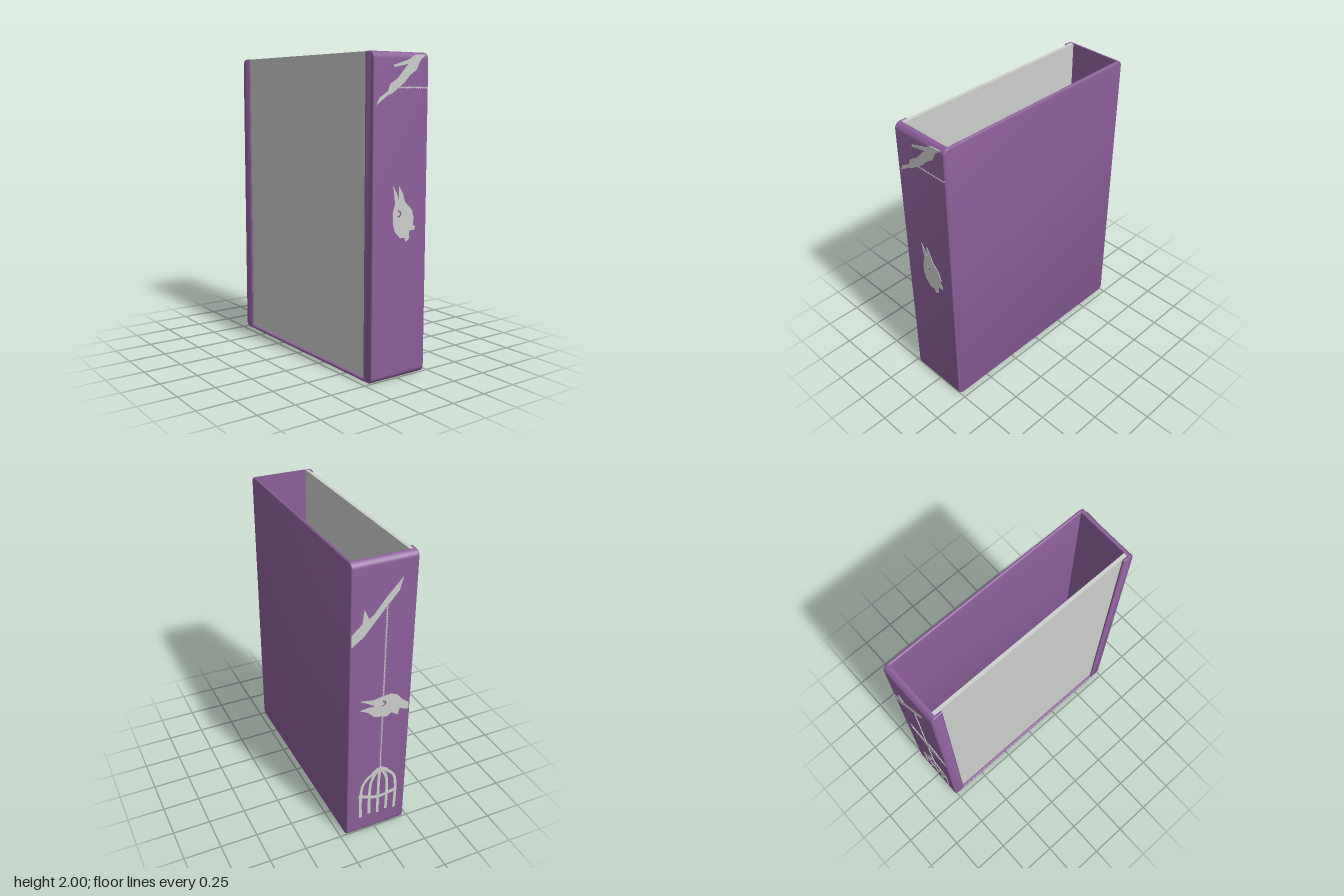
import * as THREE from 'three';
import { toCreasedNormals } from 'three/addons/utils/BufferGeometryUtils.js';

const purple = new THREE.MeshStandardMaterial({ color: 0x8c5f9a });
purple.name = 'purple';
const grey = new THREE.MeshStandardMaterial({ color: 0xcccecc });
grey.name = 'pale grey';

const W = 0.763, D = 0.212, H = 2, R = 0.04, WALL = 0.04, SKIN = 0.02;

function add(parent, name, geometry, material) {
  const mesh = new THREE.Mesh(geometry, material);
  mesh.name = name;
  parent.add(mesh);
  return mesh;
}

function extrude(shape, depth, options = {}) {
  const geo = new THREE.ExtrudeGeometry(shape, { depth, bevelEnabled: false, curveSegments: 6, ...options });
  return toCreasedNormals(geo, 0.6);
}

// Softened plate of total thickness 2 * t, centred on z = 0
const softPlate = (shape, t) => extrude(shape, 0, {
  bevelEnabled: true, bevelThickness: t, bevelSize: t, bevelOffset: -t, bevelSegments: 4,
});

// Rounded outline of the whole case, seen from the front
function caseOutline() {
  const s = new THREE.Shape();
  s.moveTo(-W + R, 0);
  s.lineTo(W - R, 0);
  s.absarc(W - R, R, R, -Math.PI / 2, 0);
  s.lineTo(W, H - R);
  s.absarc(W - R, H - R, R, 0, Math.PI / 2);
  s.lineTo(-W + R, H);
  s.absarc(-W + R, H - R, R, Math.PI / 2, Math.PI);
  s.lineTo(-W, R);
  s.absarc(-W + R, R, R, Math.PI, Math.PI * 1.5);
  return s;
}

// Front lip: the same outline with the sliding panel's opening cut from the top
function lipOutline() {
  const s = new THREE.Shape(), o = 0.68;
  s.moveTo(-W + R, 0);
  s.lineTo(W - R, 0);
  s.absarc(W - R, R, R, -Math.PI / 2, 0);
  s.lineTo(W, H - R);
  s.absarc(W - R, H - R, R, 0, Math.PI / 2);
  s.lineTo(o, H);
  s.lineTo(o, SKIN);
  s.lineTo(-o, SKIN);
  s.lineTo(-o, H);
  s.lineTo(-W + R, H);
  s.absarc(-W + R, H - R, R, Math.PI / 2, Math.PI);
  s.lineTo(-W, R);
  s.absarc(-W + R, R, R, Math.PI, Math.PI * 1.5);
  return s;
}

// Side wall with round outer corners
function wallOutline(side) {
  const s = new THREE.Shape();
  const arc = (y, a0, a1) => {
    for (let i = 0; i <= 6; i++) {
      const a = a0 + (a1 - a0) * i / 6;
      s.lineTo(side * (W - R + R * Math.cos(a)), y + R * Math.sin(a));
    }
  };
  s.moveTo(side * (W - WALL), 0);
  arc(R, -Math.PI / 2, 0);
  arc(H - R, 0, Math.PI / 2);
  s.lineTo(side * (W - WALL), H);
  return s;
}

const polygon = (pts) => new THREE.Shape(pts.map(([x, y]) => new THREE.Vector2(x, y)));

// Constant-width strip following a smooth path
function ribbon(pts, width, steps = 12) {
  const curve = new THREE.SplineCurve(pts.map(([x, y]) => new THREE.Vector2(x, y)));
  const a = [], b = [];
  for (let i = 0; i <= steps; i++) {
    const p = curve.getPoint(i / steps), t = curve.getTangent(i / steps);
    a.push([p.x - t.y * width / 2, p.y + t.x * width / 2]);
    b.unshift([p.x + t.y * width / 2, p.y - t.x * width / 2]);
  }
  return polygon([...a, ...b]);
}

// Thread made of short slanted twists
function thread(x0, y0, x1, y1) {
  const n = Math.round(Math.hypot(x1 - x0, y1 - y0) / 0.017);
  const dx = (x1 - x0) / n, dy = (y1 - y0) / n, out = [];
  for (let i = 0; i < n; i++) {
    const x = x0 + dx * i, y = y0 + dy * i, k = 0.25;
    out.push(ribbon([[x + dy * k, y - dx * k], [x + dx * 0.8 - dy * k, y + dy * 0.8 + dx * k]], 0.007, 1));
  }
  return out;
}

// Thin plates on a side wall; x of each shape runs rightwards as seen from that side
function decorate(parent, side, name, shapes) {
  const geo = extrude(shapes, 0.006);
  geo.rotateY(side * Math.PI / 2);
  geo.translate(side * (W - 0.003), 0, 0);
  add(parent, name, geo, grey);
}

// Curved eye slot
function eyeHole(x, y, r) {
  const p = new THREE.Path();
  p.absarc(x, y, r, -2, 1.9, false);
  p.absarc(x - r * 0.1, y, r * 0.55, 1.9, -2, true);
  return p;
}

export function createModel() {
  const model = new THREE.Group();
  model.name = 'slidingPanelCase';

  // Case
  const shell = new THREE.Group();
  shell.name = 'caseShell';
  model.add(shell);
  add(shell, 'backPlate', softPlate(caseOutline(), 0.01), purple).position.z = -D + 0.01;
  add(shell, 'frontLip', softPlate(lipOutline(), 0.009), purple).position.z = D - 0.009;
  for (const side of [1, -1]) {
    const wall = extrude(wallOutline(side), 2 * D - 0.019);
    add(shell, side > 0 ? 'leftWall' : 'rightWall', wall, purple).position.z = -D + 0.01;
  }

  // Floor with oval finger hole
  const fx = W - WALL, fz = D - 0.009;
  const floor = polygon([[-fx, -fz], [fx, -fz], [fx, fz], [-fx, fz]]);
  const oval = new THREE.Path();
  oval.absellipse(0, 0.016, 0.216, 0.135, 0, Math.PI * 2);
  floor.holes.push(oval);
  add(shell, 'floor', extrude(floor, SKIN, { curveSegments: 32 }).rotateX(-Math.PI / 2), purple);

  // Sliding front panel
  const panel = add(model, 'slidingPanel', new THREE.BoxGeometry(2 * fx, H - SKIN - 0.001, 0.023), grey);
  panel.position.set(0, (H + SKIN) / 2, 0.181);

  // Left side: branch, thread and eared head
  decorate(model, 1, 'leftBranch', [polygon([
    [-0.19, 1.69], [-0.17, 1.73], [-0.106, 1.767], [-0.09, 1.81], [-0.03, 1.845], [0.035, 1.915], [0.055, 1.93],
    [-0.058, 1.908], [-0.064, 1.92], [0.06, 1.957], [0.106, 1.984], [0.186, 1.988], [0.138, 1.947],
    [0.117, 1.899], [0.06, 1.862], [0.02, 1.82], [-0.074, 1.756], [-0.106, 1.745],
  ])]);
  decorate(model, 1, 'leftThread', [
    ...thread(-0.09, 1.79, 0.208, 1.79),
    ...thread(-0.1, 1.76, -0.07, 1.81),
  ]);
  const head = polygon([
    [-0.058, 1.21], [-0.03, 1.165], [-0.014, 1.125], [-0.012, 1.205], [0.02, 1.155], [0.037, 1.105], [0.09, 1.056],
    [0.108, 1], [0.1, 0.96], [0.12, 0.95], [0.113, 0.924], [0.085, 0.93], [0.07, 0.918], [0.075, 0.88],
    [0.048, 0.858], [0.032, 0.886], [0, 0.886], [-0.042, 0.928], [-0.058, 0.98], [-0.058, 1.05], [-0.042, 1.1],
  ]);
  head.holes.push(eyeHole(-0.014, 1.035, 0.022));
  decorate(model, 1, 'earedHead', [head]);

  // Right side: branch, thread, bird head and hanging cage
  decorate(model, -1, 'rightBranch', [polygon([
    [0.115, 1.86], [0.093, 1.781], [-0.006, 1.67], [-0.127, 1.527], [-0.205, 1.473], [-0.205, 1.55],
    [-0.138, 1.613], [-0.127, 1.705], [-0.094, 1.636], [-0.06, 1.664], [0.016, 1.757],
  ])]);
  decorate(model, -1, 'rightThread', [...thread(0.02, 1.7, 0.02, 1.075), ...thread(0.02, 0.92, 0.02, 0.5)]);
  const bird = polygon([
    [-0.138, 1.079], [-0.05, 1.064], [0.016, 1.072], [0.07, 1.078], [0.115, 1.06], [0.16, 1.008], [0.2, 0.977],
    [0.2, 0.929], [0.137, 0.949], [0.126, 0.905], [0.082, 0.936], [0.049, 0.915], [-0.04, 0.937],
    [-0.083, 0.982], [-0.138, 1.01], [-0.083, 1.016], [-0.03, 1.012], [-0.094, 1.054],
  ]);
  bird.holes.push(eyeHole(0.02, 1.02, 0.022));
  decorate(model, -1, 'birdHead', [bird]);

  const cage = [];
  for (let i = -2; i <= 2; i++) {
    const foot = 0.13 + 0.012 * Math.abs(i % 2);
    cage.push(ribbon([[0.012 + i * 0.062, foot], [0.012 + i * 0.064, 0.3], [0.014 + i * 0.054, 0.42], [0.02 + i * 0.012, 0.495]], 0.02));
  }
  decorate(model, -1, 'cageBars', cage);
  decorate(model, -1, 'cageBands', [
    ribbon([[-0.13, 0.32], [0.01, 0.27], [0.15, 0.29]], 0.022),
    ribbon([[-0.035, 0.48], [0.02, 0.51], [0.075, 0.48]], 0.018),
  ]);

  return model;
}
